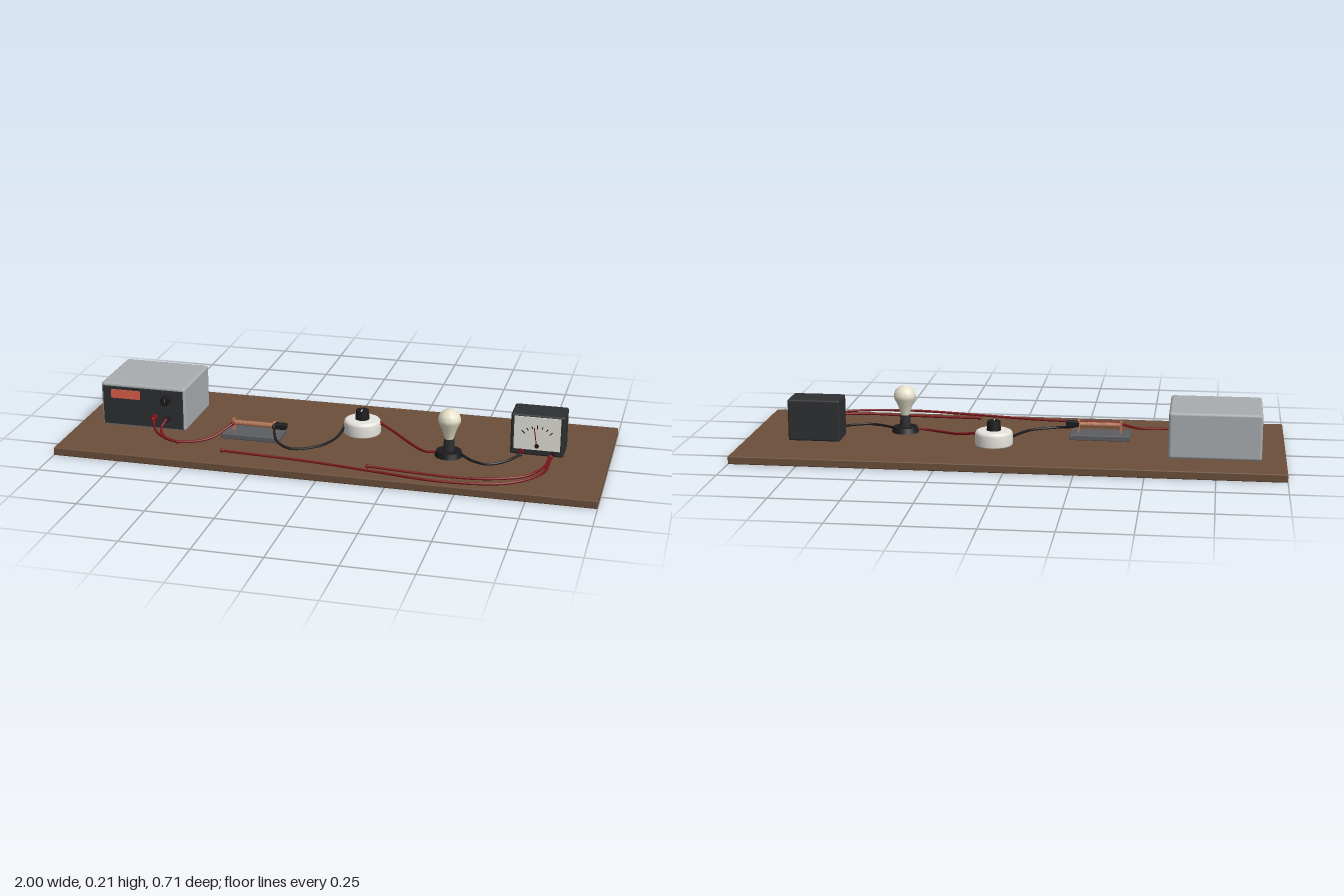
import * as THREE from 'three';
import { RoundedBoxGeometry } from 'three/addons/geometries/RoundedBoxGeometry.js';

const paint = (color) => new THREE.MeshStandardMaterial({ color });
const wood = paint(0x6b4f3a), shell = paint(0xa9adb0), dark = paint(0x2e2f31), black = paint(0x1c1c1e);
const slate = paint(0x5c5e62), white = paint(0xe6e4de), red = paint(0x7a1418), glow = paint(0xe0604c);
const copper = paint(0xb87858), glass = paint(0xe8e2cc), steel = paint(0xb0b0b0);

export function createModel() {
  const model = new THREE.Group();
  model.name = 'circuitBoard';

  const section = (name) => {
    const g = new THREE.Group();
    g.name = name;
    model.add(g);
    return g;
  };
  const add = (parent, name, geometry, material, x, y, z) => {
    const mesh = new THREE.Mesh(geometry, material);
    mesh.name = name;
    mesh.position.set(x, y, z);
    parent.add(mesh);
    return mesh;
  };
  const box = (p, name, m, w, h, d, x, y, z, r = 0) =>
    add(p, name, r ? new RoundedBoxGeometry(w, h, d, 2, r) : new THREE.BoxGeometry(w, h, d), m, x, y, z);
  // Cylinder along 'x', 'y' or 'z'
  const rod = (p, name, m, r, length, axis, x, y, z, rTop = r) => {
    const g = new THREE.CylinderGeometry(rTop, r, length, 20);
    if (axis === 'x') g.rotateZ(-Math.PI / 2);
    if (axis === 'z') g.rotateX(Math.PI / 2);
    return add(p, name, g, m, x, y, z);
  };
  const lathe = (p, name, m, points, sides, x, y, z) =>
    add(p, name, new THREE.LatheGeometry(points.map(([r, h]) => new THREE.Vector2(r, h)), sides), m, x, y, z);

  box(model, 'baseBoard', wood, 2, 0.03, 0.714, 0, 0.015, 0, 0.004);

  // Power supply with display, dial and two sockets
  const supply = section('powerSupply');
  box(supply, 'supplyCase', shell, 0.334, 0.17, 0.285, -0.745, 0.115, -0.058, 0.01);
  box(supply, 'supplyPanel', dark, 0.316, 0.15, 0.008, -0.745, 0.113, 0.084);
  box(supply, 'supplyDisplay', glow, 0.115, 0.034, 0.004, -0.813, 0.16, 0.089);
  rod(supply, 'supplyDial', black, 0.018, 0.025, 'z', -0.65, 0.152, 0.099);
  box(supply, 'dialMark', steel, 0.002, 0.014, 0.002, -0.65, 0.158, 0.112);
  [[-0.697, red], [-0.647, black]].forEach(([x, m]) => {
    rod(supply, 'supplySocket', m, 0.011, 0.028, 'z', x, 0.081, 0.101);
  });

  // Resistor: wound tube between two posts, with an end clip
  const resistor = section('resistor');
  box(resistor, 'resistorBase', slate, 0.226, 0.02, 0.1, -0.317, 0.04, 0.066, 0.003);
  rod(resistor, 'resistorTube', copper, 0.009, 0.165, 'x', -0.313, 0.08, 0.067);
  for (let i = 0; i < 16; i++) {
    const turn = add(resistor, 'winding', new THREE.TorusGeometry(0.009, 0.0018, 6, 14), copper,
      -0.386 + i * 0.0097, 0.08, 0.067);
    turn.rotation.y = Math.PI / 2;
  }
  [-0.393, -0.235].forEach((x) => {
    box(resistor, 'resistorPost', copper, 0.008, 0.048, 0.018, x, 0.071, 0.067);
  });
  box(resistor, 'endClip', black, 0.048, 0.022, 0.024, -0.212, 0.081, 0.067, 0.003);

  // Round switch with rotary knob
  const sw = section('rotarySwitch');
  lathe(sw, 'switchBody', white,
    [[0, 0], [0.068, 0], [0.07, 0.004], [0.07, 0.042], [0.066, 0.051], [0.058, 0.055], [0, 0.055]], 32, 0.068, 0.03, -0.075);
  rod(sw, 'switchKnob', black, 0.027, 0.036, 'y', 0.068, 0.102, -0.075, 0.024);
  box(sw, 'knobMark', white, 0.004, 0.002, 0.022, 0.068, 0.1205, -0.064);

  // Lamp holder and faceted-outline bulb
  const lamp = section('lamp');
  rod(lamp, 'lampBase', black, 0.052, 0.02, 'y', 0.427, 0.04, 0.072, 0.046);
  rod(lamp, 'lampSocket', dark, 0.02, 0.046, 'y', 0.427, 0.073, 0.072, 0.019);
  lathe(lamp, 'bulb', glass,
    [[0.016, 0], [0.019, 0.012], [0.029, 0.043], [0.041, 0.066], [0.043, 0.079], [0.037, 0.098], [0.02, 0.112], [0, 0.117]],
    12, 0.427, 0.093, 0.072);

  // Panel meter with scale, needle and terminals
  const meter = section('meter');
  box(meter, 'meterCase', dark, 0.196, 0.157, 0.114, 0.738, 0.1085, -0.057, 0.007);
  box(meter, 'meterFace', white, 0.17, 0.126, 0.006, 0.738, 0.117, 0.001);
  for (let i = 0; i < 7; i++) {
    const a = (i - 3) * 0.27;
    const tick = box(meter, 'scaleTick', black, 0.003, i % 3 ? 0.01 : 0.016, 0.002,
      0.738 + Math.sin(a) * 0.07, 0.073 + Math.cos(a) * 0.07, 0.0045);
    tick.rotation.z = -a;
  }
  const needle = box(meter, 'needle', red, 0.003, 0.07, 0.002, 0.732, 0.105, 0.0055);
  needle.rotation.z = 0.15;
  rod(meter, 'needlePivot', black, 0.008, 0.005, 'z', 0.738, 0.07, 0.005);
  [[0.683, red], [0.797, black]].forEach(([x, m]) => {
    rod(meter, 'meterTerminal', m, 0.009, 0.018, 'z', x, 0.046, 0.009);
  });

  // Leads, each ending in small plugs
  const leads = section('leads');
  const lead = (name, m, points) => {
    const path = points.map((p) => new THREE.Vector3(...p));
    const curve = new THREE.CatmullRomCurve3(path);
    add(leads, name, new THREE.TubeGeometry(curve, 64, 0.0048, 8), m, 0, 0, 0);
    [path[0], path[path.length - 1]].forEach((p) => {
      add(leads, 'leadEnd', new THREE.SphereGeometry(0.0075, 10, 8), m, p.x, p.y, p.z);
    });
  };
  lead('supplyToResistor', red, [[-0.697, 0.081, 0.115], [-0.66, 0.055, 0.175], [-0.58, 0.038, 0.205],
    [-0.46, 0.045, 0.165], [-0.393, 0.08, 0.085]]);
  lead('supplyReturn', red, [[-0.647, 0.081, 0.115], [-0.653, 0.06, 0.15], [-0.625, 0.042, 0.185], [-0.57, 0.037, 0.207]]);
  lead('resistorToSwitch', black, [[-0.235, 0.08, 0.078], [-0.205, 0.05, 0.14], [-0.145, 0.038, 0.17],
    [-0.05, 0.038, 0.12], [-0.005, 0.042, 0.03], [0.005, 0.055, -0.06]]);
  lead('switchToLamp', red, [[0.137, 0.072, -0.08], [0.2, 0.056, -0.04], [0.29, 0.042, 0.04], [0.34, 0.038, 0.075], [0.385, 0.042, 0.08]]);
  lead('lampToMeter', black, [[0.47, 0.042, 0.075], [0.52, 0.038, 0.12], [0.58, 0.037, 0.14],
    [0.64, 0.04, 0.105], [0.683, 0.046, 0.042]]);
  lead('longMeterLead', red, [[0.797, 0.047, 0.042], [0.785, 0.046, 0.2], [0.68, 0.044, 0.31], [0.46, 0.043, 0.348],
    [0.2, 0.042, 0.315], [-0.05, 0.04, 0.277], [-0.38, 0.04, 0.255]]);
  lead('shortMeterLead', red, [[0.793, 0.05, 0.045], [0.783, 0.048, 0.15], [0.73, 0.045, 0.235], [0.62, 0.042, 0.28],
    [0.5, 0.038, 0.288], [0.33, 0.038, 0.28], [0.17, 0.04, 0.27]]);

  return model;
}
